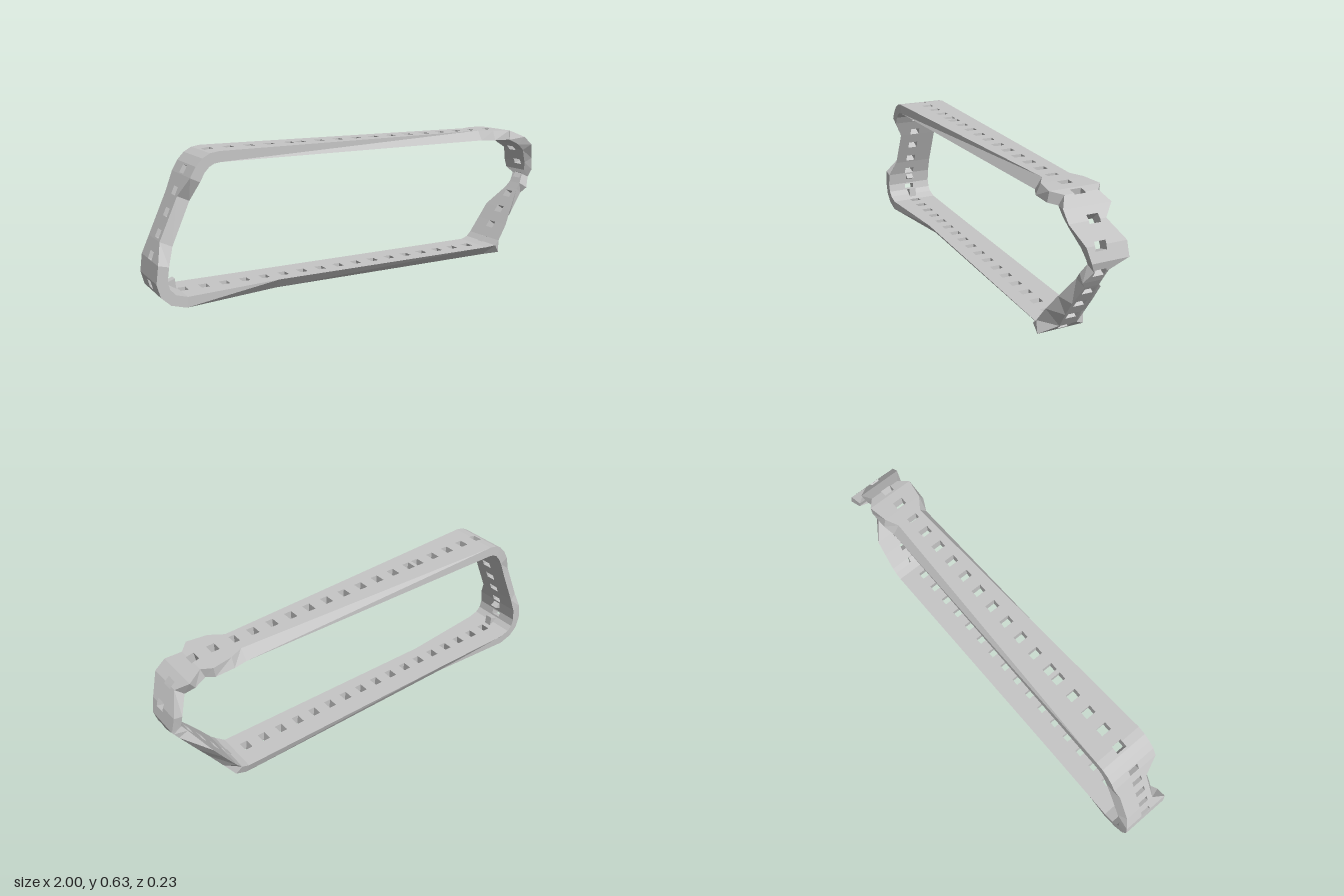
import * as THREE from 'three';

const THICK = 0.045, SLOT = 0.024, SLOT_HALF = 0.018;
const FULL = [0.117, -0.115, 0.117, -0.117];

// Full-width rounded bend between two runs
function bend(from, control, to) {
  const curve = new THREE.QuadraticBezierCurve(...[from, control, to].map(p => new THREE.Vector2(...p)));
  return curve.getPoints(4).map(p => [p.x, p.y, ...FULL]);
}

// Loop stations, clockwise: x, y, then front and back z of the outer and inner face
const stations = [
  // battered right end
  [0.64, 0.63, 0.05, -0.072, 0.08, -0.105],
  [0.70, 0.63, 0.09, -0.10, 0.11, -0.115],
  [0.79, 0.628, 0.105, -0.115, 0.11, -0.115],
  [0.83, 0.62, 0.065, -0.08, 0.08, -0.085],
  [0.89, 0.59, 0.105, -0.10, 0.09, -0.09],
  [0.935, 0.55, 0.108, -0.05, 0.085, -0.06],
  [0.982, 0.47, 0.06, -0.113, 0.055, -0.10],
  [1, 0.41, 0.045, -0.115, 0.04, -0.10],
  [0.99, 0.37, 0.028, -0.035, 0.03, -0.04],
  [0.96, 0.32, 0.055, -0.03, 0.045, -0.03],
  [0.94, 0.29, 0.032, -0.03, 0.045, -0.04],
  [0.873, 0.195, 0.04, -0.04, 0.08, -0.11],
  [0.825, 0.125, 0.038, -0.035, 0.105, -0.113],
  [0.772, 0.05, 0.03, -0.05, 0.115, -0.115],
  [0.74, 0.018, 0.11, -0.10, 0.117, -0.115],
  [0.69, 0, 0.05, -0.10, 0.09, -0.115],
  [-0.45, 0, 0.045, -0.09, 0.08, -0.115],
  // left end, narrow between its two bends
  ...bend([-0.88, 0], [-1.035, 0.02], [-0.99, 0.19]),
  [-0.96, 0.27, 0.05, -0.10, 0.083, -0.115],
  [-0.88, 0.45, 0.05, -0.10, 0.078, -0.115],
  ...bend([-0.845, 0.53], [-0.80, 0.63], [-0.72, 0.63]),
];
const N = stations.length;

// Add the inner outline by offsetting every corner along its mitre
const keys = stations.map((s, i) => {
  const a = stations[(i + N - 1) % N], b = stations[(i + 1) % N];
  const d1 = new THREE.Vector2(s[0] - a[0], s[1] - a[1]).normalize();
  const d2 = new THREE.Vector2(b[0] - s[0], b[1] - s[1]).normalize();
  const n = new THREE.Vector2(d1.y + d2.y, -d1.x - d2.x).normalize();
  const m = THICK / Math.max(0.7, n.x * d1.y - n.y * d1.x);
  return [...s, s[0] + n.x * m, s[1] + n.y * m];
});
const arc = [0];
for (let i = 0; i < N; i++) {
  const a = keys[i], b = keys[(i + 1) % N];
  arc.push(arc[i] + Math.hypot(b[0] - a[0], b[1] - a[1]));
}

// Outer and inner section points of the band at an arc length
function ring(t) {
  let i = 0;
  while (i < N - 1 && arc[i + 1] <= t) i++;
  const f = Math.min(1, (t - arc[i]) / (arc[i + 1] - arc[i]));
  const [x, y, fo, bo, fi, bi, ix, iy] = keys[i].map((v, k) => v + (keys[(i + 1) % N][k] - v) * f);
  return {
    out: [fo, SLOT, -SLOT, bo].map(z => [x, y, z]),
    inn: [fi, SLOT, -SLOT, bi].map(z => [ix, iy, z]),
  };
}

// Arc length of the loop point nearest to x, y
function nearestArc(x, y) {
  let best = 0, dist = Infinity;
  for (let i = 0; i < N; i++) {
    const a = keys[i], b = keys[(i + 1) % N], len = arc[i + 1] - arc[i];
    const dx = (b[0] - a[0]) / len, dy = (b[1] - a[1]) / len;
    const t = Math.min(len, Math.max(0, (x - a[0]) * dx + (y - a[1]) * dy));
    const d = Math.hypot(a[0] + dx * t - x, a[1] + dy * t - y);
    if (d < dist) { dist = d; best = arc[i] + t; }
  }
  return best;
}

// Evenly spaced slots along each run
function slotCentres() {
  const centres = [];
  const row = (count, x, y, dx, dy) => {
    for (let k = 0; k < count; k++) centres.push(nearestArc(x + dx * k, y + dy * k));
  };
  row(13, -0.302, 0.63, 0.0935, 0); // top run
  row(5, -0.356, 0.63, -0.0935, 0);
  row(17, -0.863, 0, 0.0935, 0); // bottom run
  row(4, 0.92, 0.262, -0.054, -0.075); // right slope
  row(3, 0.99, 0.36, -0.025, 0.1025); // right bend
  row(5, -0.983, 0.207, 0.038, 0.0855); // left slope
  row(1, -0.985, 0.09, 0, 0); // left bend
  return centres;
}

function bandGeometry() {
  const pos = [];
  const quad = (a, b, c, d) => pos.push(...a, ...b, ...c, ...a, ...c, ...d);
  const strip = (a, b, k) => {
    quad(a.out[k], b.out[k], b.out[k + 1], a.out[k + 1]);
    quad(a.inn[k + 1], b.inn[k + 1], b.inn[k], a.inn[k]);
  };

  // front and back strips with their edges, in large facets
  for (let i = 0; i < N; i++) {
    const a = ring(arc[i]), b = ring(arc[i + 1]);
    strip(a, b, 0);
    strip(a, b, 2);
    quad(a.inn[0], b.inn[0], b.out[0], a.out[0]);
    quad(a.out[3], b.out[3], b.inn[3], a.inn[3]);
  }

  // slotted middle strip
  const slots = slotCentres();
  const inSlot = t => slots.some(c => Math.abs(t - c) < SLOT_HALF);
  const cuts = [...arc, ...slots.flatMap(c => [c - SLOT_HALF, c + SLOT_HALF])]
    .sort((a, b) => a - b).filter((v, i, l) => i === 0 || v - l[i - 1] > 1e-5);
  for (let i = 0; i < cuts.length - 1; i++) {
    const a = ring(cuts[i]), b = ring(cuts[i + 1]);
    if (!inSlot((cuts[i] + cuts[i + 1]) / 2)) {
      strip(a, b, 1);
      continue;
    }
    // slot walls
    quad(a.out[1], b.out[1], b.inn[1], a.inn[1]);
    quad(a.inn[2], b.inn[2], b.out[2], a.out[2]);
    if (!inSlot(cuts[i] - 1e-4)) quad(a.out[1], a.inn[1], a.inn[2], a.out[2]);
    if (!inSlot(cuts[i + 1] + 1e-4)) quad(b.out[2], b.inn[2], b.inn[1], b.out[1]);
  }
  const g = new THREE.BufferGeometry();
  g.setAttribute('position', new THREE.Float32BufferAttribute(pos, 3));
  g.computeVertexNormals();
  return g;
}

export function createModel() {
  const group = new THREE.Group();
  group.name = 'trackLoop';
  const steel = new THREE.MeshStandardMaterial({ color: 0xc6c6c6, flatShading: true, side: THREE.DoubleSide });
  steel.name = 'light grey steel';

  const band = new THREE.Mesh(bandGeometry(), steel);
  band.name = 'trackBand';
  group.add(band);

  // Small guide teeth inside the corners: three corners of each wedge
  const teeth = [
    [[-0.79, 0.575], [-0.735, 0.58], [-0.745, 0.545]],
    [[-0.955, 0.175], [-0.922, 0.153], [-0.955, 0.138]],
    [[-0.935, 0.085], [-0.895, 0.1], [-0.89, 0.055]],
    [[0.70, 0.045], [0.735, 0.08], [0.765, 0.07]],
  ];
  for (const t of teeth) {
    const shape = new THREE.Shape(t.map(p => new THREE.Vector2(...p)));
    const geo = new THREE.ExtrudeGeometry(shape, { depth: 0.036, bevelEnabled: false });
    const tooth = new THREE.Mesh(geo.translate(0, 0, -0.018), steel);
    tooth.name = 'guideTooth';
    group.add(tooth);
  }
  return group;
}
